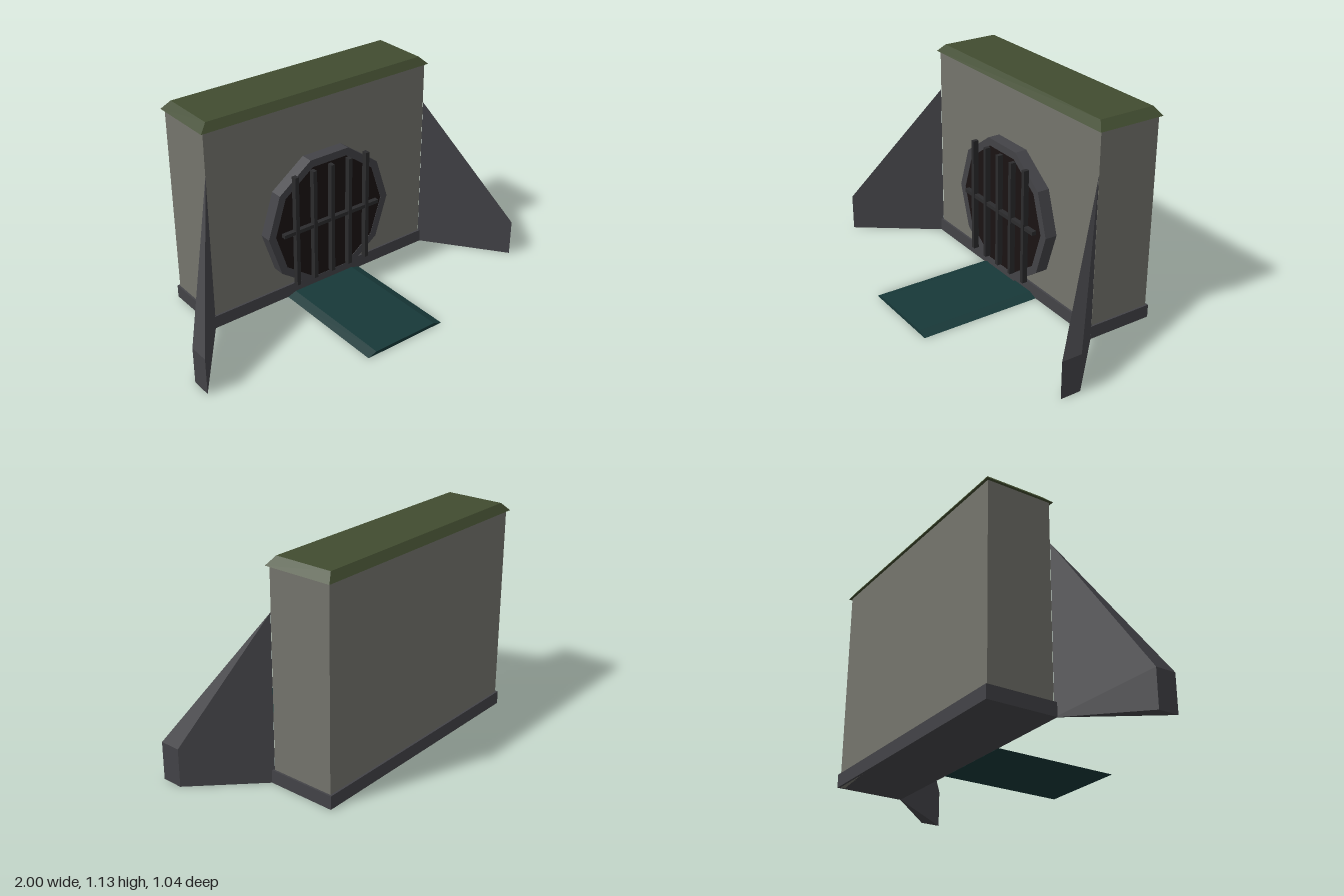
import * as THREE from 'three';

const WALL_Z = -0.333; // centre line of the headwall
const HOLE_Y = 0.43;   // centre height of the pipe mouth

const mat = (color) => new THREE.MeshStandardMaterial({ color, flatShading: true });
const concrete = mat(0x74746c), darkConcrete = mat(0x434347), moss = mat(0x414c30);
const iron = mat(0x2b2b2d), shadow = mat(0x1a1313), water = mat(0x173838);

export function createModel() {
  const model = new THREE.Group();

  const add = (name, geometry, material, x = 0, y = 0, z = 0) => {
    const mesh = new THREE.Mesh(geometry, material);
    mesh.name = name;
    mesh.position.set(x, y, z);
    model.add(mesh);
    return mesh;
  };
  const box = (name, w, h, d, material, x, y, z) =>
    add(name, new THREE.BoxGeometry(w, h, d), material, x, y, z);

  // Headwall and plinth
  box('headwall', 1.37, 1.09, 0.343, concrete, 0, 0.545, WALL_Z);
  box('plinth', 1.39, 0.07, 0.365, darkConcrete, 0, 0.035, WALL_Z);

  // Mossy coping: a slab whose top is drawn in to make bevels
  const coping = new THREE.BoxGeometry(1.4, 0.042, 0.37);
  const p = coping.attributes.position;
  for (let i = 0; i < p.count; i++) {
    if (p.getY(i) > 0) {
      p.setX(i, Math.sign(p.getX(i)) * 0.657);
      p.setZ(i, Math.sign(p.getZ(i)) * 0.156);
    }
  }
  coping.computeVertexNormals();
  add('coping', coping, moss, 0, 1.111, WALL_Z);

  // Ten-sided pipe collar with a dark mouth
  const decagon = (r) => {
    const points = [];
    for (let i = 0; i < 10; i++) {
      const a = (i * Math.PI) / 5;
      points.push(new THREE.Vector2(r * Math.cos(a), r * Math.sin(a)));
    }
    return points;
  };
  const collar = new THREE.Shape(decagon(0.385));
  collar.holes.push(new THREE.Path(decagon(0.342)));
  add('pipeCollar', new THREE.ExtrudeGeometry(collar, { depth: 0.085, bevelEnabled: false }),
    darkConcrete, 0, HOLE_Y, -0.18);
  add('pipeMouth', new THREE.ShapeGeometry(new THREE.Shape(decagon(0.342))),
    shadow, 0, HOLE_Y, -0.097);

  // Grate bars
  for (let i = -2; i <= 2; i++) {
    box('grateBar', 0.022, 0.63, 0.03, iron, i * 0.1125, HOLE_Y, -0.081);
  }
  box('grateCrossbar', 0.61, 0.02, 0.026, iron, 0, HOLE_Y, -0.083);

  // Splayed wing walls: a sharp edge at the headwall widening to a low outer end
  const wing = (side) => {
    const corners = [
      [0.685, 0, -0.16], [0.685, 0.87, -0.16], // edge at the headwall
      [1, 0, 0.155], [1, 0.2, 0.155],          // outer end, rear
      [1, 0, 0.265], [1, 0.2, 0.265],          // outer end, front
    ];
    const faces = [
      [0, 4, 5], [0, 5, 1],            // front
      [0, 1, 3], [0, 3, 2],            // rear
      [2, 3, 5], [2, 5, 4],            // outer end
      [1, 5, 3], [0, 2, 4],            // top and bottom
    ];
    const verts = [];
    for (const face of faces) {
      const order = side > 0 ? face : [...face].reverse();
      for (const i of order) verts.push(corners[i][0] * side, corners[i][1], corners[i][2]);
    }
    const g = new THREE.BufferGeometry();
    g.setAttribute('position', new THREE.Float32BufferAttribute(verts, 3));
    g.computeVertexNormals();
    return g;
  };
  add('leftWingWall', wing(1), darkConcrete);
  add('rightWingWall', wing(-1), darkConcrete);

  // Shallow outflow running forward from the plinth
  const stream = new THREE.Shape([
    new THREE.Vector2(-0.24, 0), new THREE.Vector2(0.24, 0),
    new THREE.Vector2(0.19, 0.018), new THREE.Vector2(-0.19, 0.018),
  ]);
  add('outflow', new THREE.ExtrudeGeometry(stream, { depth: 0.67, bevelEnabled: false }),
    water, 0, 0, -0.15);

  return model;
}
